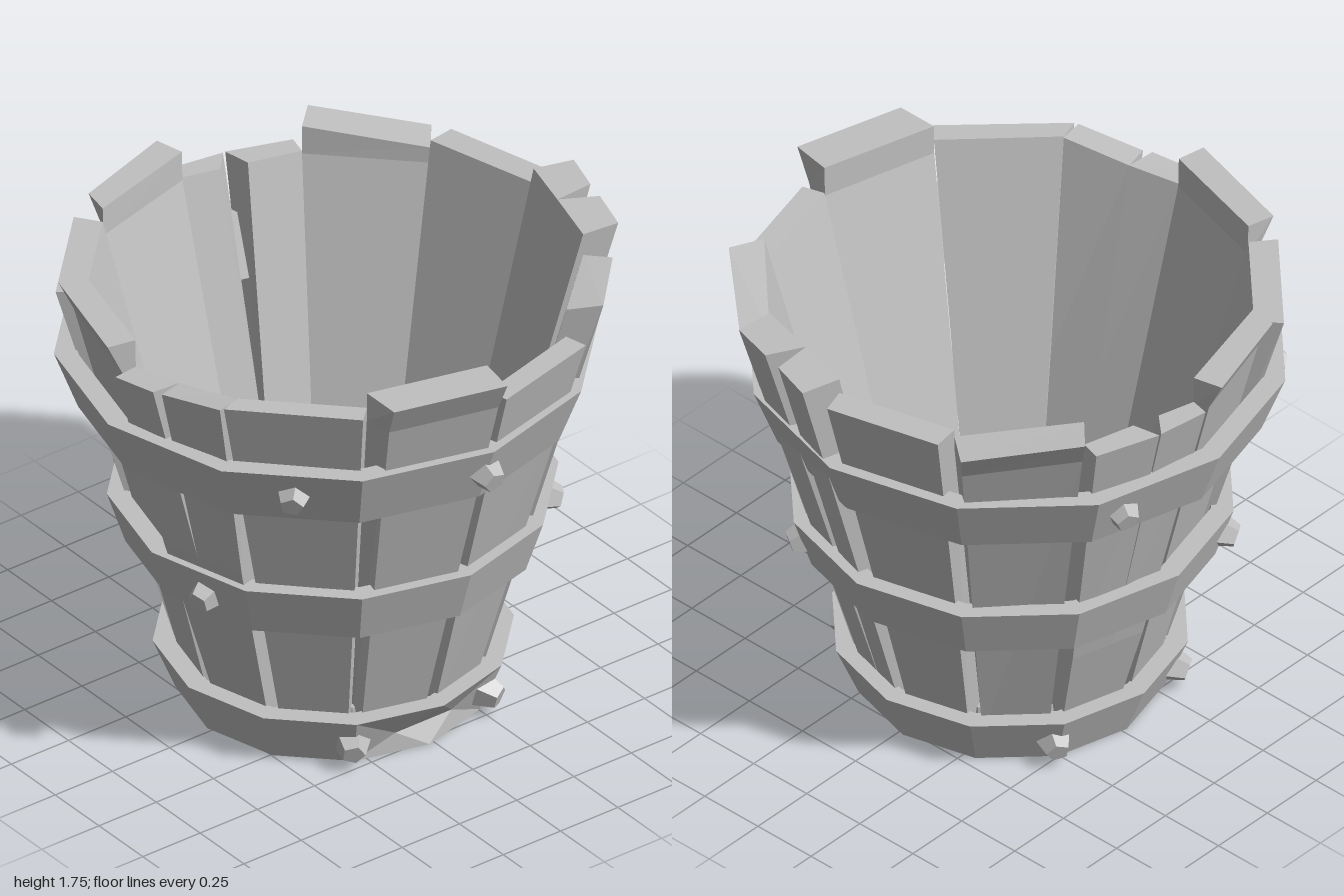
import * as THREE from 'three';

const CX = -0.02, CZ = 0.015, STEP = Math.PI / 6;
const innerRadius = (y) => Math.min(0.465 + (y - 0.18) * 0.283, 0.87);

// point on a twelve-sided ring
const ringPoint = (i, r, y, cx = CX, cz = CZ) =>
  new THREE.Vector3(cx + r * Math.cos(i * STEP), y, cz + r * Math.sin(i * STEP));

// flat-faced geometry from a list of convex polygons
function fromPolygons(polys) {
  const pos = [];
  for (const p of polys)
    for (let i = 1; i < p.length - 1; i++)
      for (const v of [p[0], p[i], p[i + 1]]) pos.push(v.x, v.y, v.z);
  const g = new THREE.BufferGeometry();
  g.setAttribute('position', new THREE.Float32BufferAttribute(pos, 3));
  g.computeVertexNormals();
  return g;
}

// stave: side index, inner edge from/to (0..1), outer top corners x,z x,z, heights
const STAVES = [
  [0, 0, 1, 1.0, 0.04, 0.89, 0.45, 1.72, 1.715],
  [1, 0, 1, 0.79, 0.51, 0.44, 0.85, 1.655, 1.655],
  [2, 0, 0.57, 0.43, 0.86, 0.19, 0.93, 1.65, 1.62],
  [2, 0.57, 1, 0.16, 0.945, -0.01, 0.98, 1.62, 1.61],
  [3, 0, 1, -0.04, 0.99, -0.48, 0.87, 1.72, 1.72],
  [4, 0, 1, -0.52, 0.85, -0.86, 0.51, 1.65, 1.655],
  [5, 0, 1, -0.88, 0.43, -1.0, 0.04, 1.71, 1.715],
  [6, 0, 0.32, -0.96, 0.0, -0.93, -0.195, 1.61, 1.61],
  [6, 0.55, 1, -0.93, -0.205, -0.85, -0.44, 1.61, 1.61],
  [7, 0, 1, -0.87, -0.52, -0.57, -0.83, 1.71, 1.66],
  [8, 0, 1, -0.47, -0.84, -0.05, -0.95, 1.69, 1.69],
  [9, 0, 0.48, 0.02, -1.0, 0.18, -0.95, 1.75, 1.75],
  [9, 0.48, 1, 0.26, -0.93, 0.43, -0.88, 1.75, 1.745],
  [10, 0, 1, 0.49, -0.81, 0.79, -0.54, 1.66, 1.72],
  [11, 0, 1, 0.82, -0.44, 0.93, -0.01, 1.61, 1.61],
];

// cracked sides: where the crack ends and its place across the stave
const CRACKS = { 2: { tip: 0.86, at: 0.57 }, 6: { tip: 0.5, at: 0.43 } };

function staveGeometry([k, f0, f1, x1, z1, x2, z2, y1, y2]) {
  const inner = (f, y) =>
    ringPoint(k, innerRadius(y), y).lerp(ringPoint(k + 1, innerRadius(y), y), f);
  const a = (k + 0.5) * STEP;
  const out = new THREE.Vector3(Math.cos(a), 0, Math.sin(a));
  const crack = CRACKS[k];
  const closed = (f) => (crack && f > 0 && f < 1 ? crack.at : f);
  const lowerRing = (y) => {
    const p = inner(closed(f0), y), q = inner(closed(f1), y);
    const depth = 0.09 + 0.03 * (y - 0.1);
    return [p, q, q.clone().addScaledVector(out, depth), p.clone().addScaledVector(out, depth)];
  };
  const top = [inner(f0, y1), inner(f1, y2),
    new THREE.Vector3(x2, y2, z2), new THREE.Vector3(x1, y1, z1)];
  const rings = [lowerRing(0.1)];
  if (crack) rings.push(lowerRing(crack.tip));
  // tall staves flare outward near the rim
  if (y1 > 1.7 && f1 - f0 === 1) {
    const t = (1.6 - 0.1) / (y1 - 0.1);
    rings.push(rings[0].map((p, i) => i < 2 ? inner(i, 1.6)
      : p.clone().lerp(top[i], t).addScaledVector(out, -0.025)));
  }
  rings.push(top);
  const polys = [top, [...rings[0]].reverse()];
  for (let n = 1; n < rings.length; n++) {
    const b = rings[n - 1], t = rings[n];
    for (let i = 0; i < 4; i++) {
      const j = (i + 1) % 4;
      polys.push([b[i], b[j], t[j], t[i]]);
    }
  }
  return fromPolygons(polys);
}

// hoop with sloping walls; the lowest one has a chipped corner
function bandGeometry({ cx, cz, y0, y1, r0, r1, chipped }) {
  const w = 0.08, polys = [];
  const at = (i, r, y) => ringPoint(i, r, y, cx, cz);
  const chipPoint = (i) => {
    const f = 0.38, r = r0 + (r1 - r0) * f, y = y0 + (y1 - y0) * f;
    const p = at(0, r, y).lerp(at(i, r, y), 0.42);
    p.x -= 0.035;
    return p;
  };
  const L = chipPoint(1), R = chipPoint(-1);
  for (let i = 0; i < 12; i++) {
    const a = at(i, r0, y0), b = at(i + 1, r0, y0);
    const A = at(i, r1, y1), B = at(i + 1, r1, y1);
    const c = at(i, r0 - w, y0), d = at(i + 1, r0 - w, y0);
    const C = at(i, r1 - w, y1), D = at(i + 1, r1 - w, y1);
    if (chipped && i === 0)
      polys.push([L, A, B], [L, B, b], [L, b, a], [A, L, R], [a, R, L]);
    else if (chipped && i === 11)
      polys.push([a, A, R], [A, B, R], [R, b, a]);
    else polys.push([a, A, B, b]);
    polys.push([A, C, D, B], [c, a, b, d], [c, d, D, C]);
  }
  return fromPolygons(polys);
}

const BANDS = [
  { name: 'bottomBand', cx: -0.02, cz: 0.02, y0: 0, y1: 0.2, r0: 0.55, r1: 0.632,
    chipped: true, studY: 0.085, studs: [31, -29, 150, 212] },
  { name: 'middleBand', cx: -0.03, cz: 0.015, y0: 0.61, y1: 0.81, r0: 0.725, r1: 0.79,
    studY: 0.7, studs: [74.5, -57, 149] },
  { name: 'topBand', cx: -0.037, cz: 0.035, y0: 1.18, y1: 1.405, r0: 0.87, r1: 0.955,
    studY: 1.29, studs: [45, 0, 134, 203] },
];

export function createModel() {
  const model = new THREE.Group();
  model.name = 'bucket';
  const grey = new THREE.MeshStandardMaterial({ color: 0xc0c0c0 });
  grey.name = 'grey wood';
  grey.flatShading = true;
  const add = (name, geometry) => {
    const m = new THREE.Mesh(geometry, grey);
    m.name = name;
    model.add(m);
    return m;
  };

  for (const s of STAVES) add('stave', staveGeometry(s));

  // solid base, its top is the inner floor
  const base = add('floor', new THREE.CylinderGeometry(0.49, 0.5, 0.18, 12));
  base.position.set(CX, 0.09, CZ);

  // hoops with five-sided studs
  const stud = new THREE.CylinderGeometry(0.042, 0.068, 0.075, 5);
  for (const band of BANDS) {
    add(band.name, bandGeometry(band));
    const y = band.studY;
    const r = band.r0 + (band.r1 - band.r0) * (y - band.y0) / (band.y1 - band.y0);
    for (const deg of band.studs) {
      const a = THREE.MathUtils.degToRad(deg);
      const within = THREE.MathUtils.degToRad(THREE.MathUtils.euclideanModulo(deg, 30) - 15);
      const surface = r * Math.cos(STEP / 2) / Math.cos(within);
      const m = add('stud', stud);
      m.position.copy(ringPoint(a / STEP, surface + 0.012, y, band.cx, band.cz));
      m.quaternion.setFromUnitVectors(new THREE.Vector3(0, 1, 0),
        new THREE.Vector3(Math.cos(a), -0.28, Math.sin(a)).normalize());
    }
  }
  return model;
}
